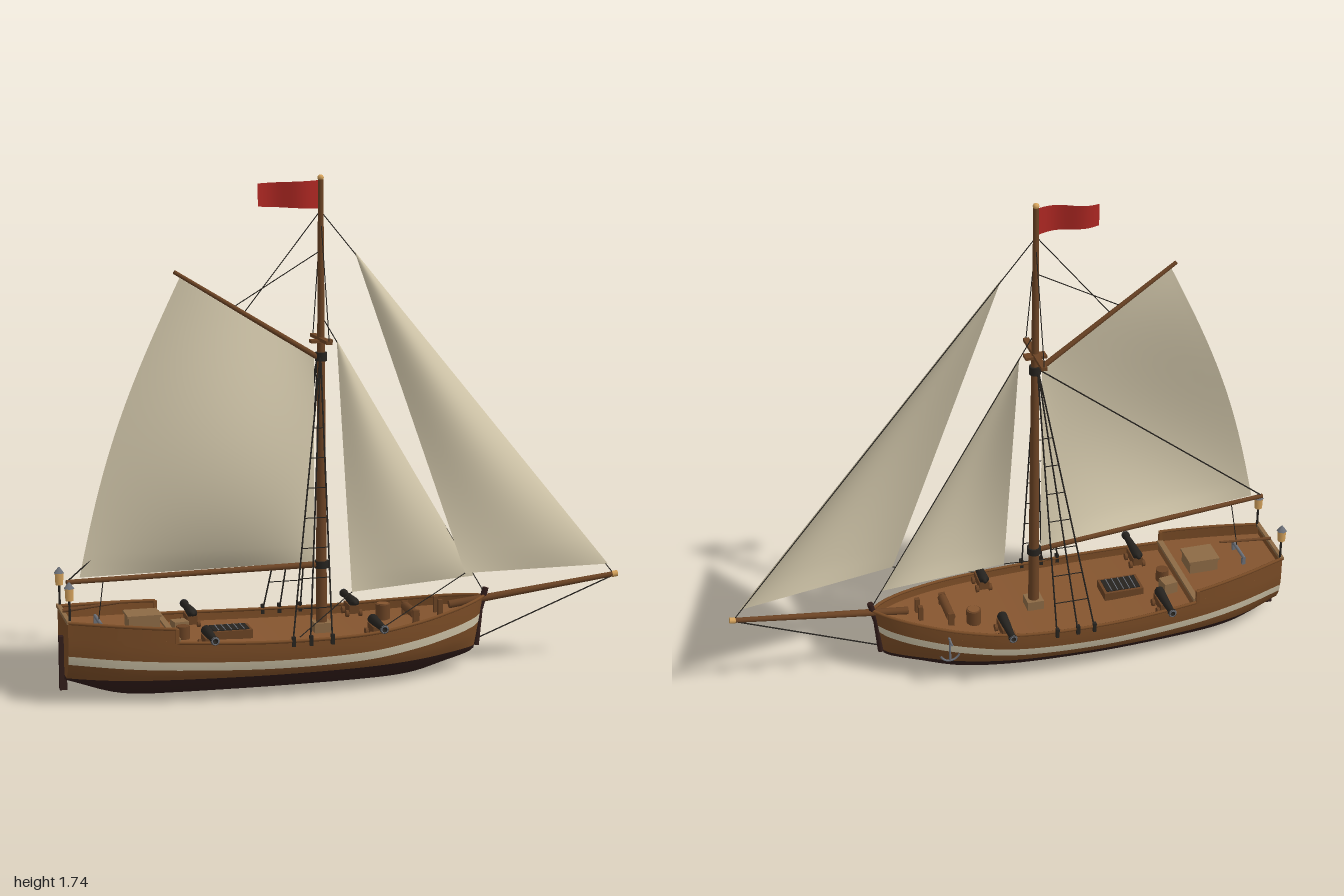
import * as THREE from 'three';

const V = (x, y, z) => new THREE.Vector3(x, y, z);
const mat = (name, color, double) => {
  const m = new THREE.MeshStandardMaterial({ color });
  m.name = name;
  if (double) m.side = THREE.DoubleSide;
  return m;
};

export function createModel() {
  const M = {
    hull: mat('hullWood', 0x7a4c26, true), bottom: mat('darkBottom', 0x321d1a, true),
    cream: mat('creamCanvas', 0xcfc4a8, true), deck: mat('deckWood', 0x85552f, true),
    spar: mat('sparWood', 0x6b4324), black: mat('blackIron', 0x26231f),
    steel: mat('greyIron', 0x6c7078), lamp: mat('lampGlow', 0xd6a35c),
    crate: mat('paleWood', 0x8c6a45), red: mat('redFlag', 0xad2722, true),
  };
  const root = new THREE.Group();
  root.name = 'sailingBoat';

  const add = (name, geo, m, x = 0, y = 0, z = 0, parent = root) => {
    const mesh = new THREE.Mesh(geo, m);
    mesh.name = name;
    mesh.position.set(x, y, z);
    parent.add(mesh);
    return mesh;
  };
  const box = (name, w, h, d, m, x, y, z, parent) =>
    add(name, new THREE.BoxGeometry(w, h, d), m, x, y, z, parent);
  const drum = (name, r1, r2, h, m, x, y, z, n = 14, parent = root) =>
    add(name, new THREE.CylinderGeometry(r1, r2, h, n), m, x, y, z, parent);
  // Round bar between two points
  const rod = (name, a, b, r, m, r2 = r, n = 10) => {
    const d = b.clone().sub(a);
    const mesh = drum(name, r2, r, d.length(), m, 0, 0, 0, n);
    mesh.position.copy(a).addScaledVector(d, 0.5);
    mesh.quaternion.setFromUnitVectors(V(0, 1, 0), d.normalize());
    return mesh;
  };
  const rope = (name, a, b, r = 0.0018) => rod(name, a, b, r, M.black, r, 5);
  // Grid surface from a function of u and v
  const surface = (name, fn, nu, nv, m) => {
    const pos = [], idx = [];
    for (let j = 0; j <= nv; j++) for (let i = 0; i <= nu; i++) pos.push(...fn(i / nu, j / nv).toArray());
    for (let j = 0; j < nv; j++) for (let i = 0; i < nu; i++) {
      const a = j * (nu + 1) + i, b = a + nu + 1;
      idx.push(a, a + 1, b + 1, a, b + 1, b);
    }
    const g = new THREE.BufferGeometry();
    g.setAttribute('position', new THREE.Float32BufferAttribute(pos, 3));
    g.setIndex(idx);
    g.computeVertexNormals();
    return add(name, g, m);
  };

  // Hull stations: x, half width, sheer height, keel height, stripe height
  const stations = [
    [-0.985, 0.12, 0.24, 0.065, 0.156], [-0.8, 0.172, 0.225, 0.008, 0.142],
    [-0.6, 0.208, 0.214, 0, 0.132], [-0.3, 0.228, 0.202, 0, 0.122],
    [0, 0.215, 0.202, 0, 0.125], [0.2, 0.172, 0.218, 0.005, 0.142],
    [0.35, 0.11, 0.237, 0.035, 0.16], [0.44, 0.052, 0.25, 0.055, 0.173], [0.48, 0.003, 0.256, 0.07, 0.18],
  ];
  const curve = (i, j) => new THREE.CatmullRomCurve3(
    stations.map((s) => V(s[0], s[i], s[j])), false, 'catmullrom', 0.5);
  const upper = curve(1, 2), lower = curve(3, 4);
  const at = (u) => {
    const a = upper.getPoint(u), b = lower.getPoint(u);
    return { x: a.x, hw: Math.max(a.y, 0.002), sheer: a.z, keel: Math.max(b.y, 0), stripe: b.z };
  };
  const uAt = (x) => {
    let lo = 0, hi = 1;
    for (let i = 0; i < 30; i++) { const m = (lo + hi) / 2; if (at(m).x < x) lo = m; else hi = m; }
    return lo;
  };
  const halfAt = (s, y) => {
    const t = Math.min(1, Math.max(0, (y - s.keel) / (s.sheer - s.keel)));
    return s.hw * Math.sqrt(1 - (1 - t) ** 3);
  };
  const hullPoint = (u, y, side) => {
    const s = at(u);
    return V(s.x + 0.02 * u ** 8 * ((y - 0.16) / 0.1), y, side * halfAt(s, y));
  };
  const uBreak = uAt(-0.635);
  const water = () => 0.082;
  const keel = (s) => s.keel, sheer = (s) => s.sheer;
  const low = (s) => s.stripe - 0.015, high = (s) => s.stripe + 0.015;
  const raised = (s) => 0.262 + 0.024 * (-0.635 - s.x) / 0.35;

  // Hull planking in bands, mirrored
  const bands = [
    ['hullBottom', keel, water, 8, M.bottom], ['lowerPlanking', water, low, 3, M.hull],
    ['hullStripe', low, high, 2, M.cream], ['upperPlanking', high, sheer, 4, M.hull],
  ];
  for (const side of [1, -1]) {
    for (const [name, a, b, n, m] of bands)
      surface(name, (u, v) => {
        const s = at(u);
        return hullPoint(u, THREE.MathUtils.lerp(a(s), b(s), v * v * (name === 'hullBottom' ? 1 : 0) + (name === 'hullBottom' ? 0 : v)), side);
      }, 64, n, m);
    surface('sternBulwark', (u, v) => {
      const s = at(u * uBreak);
      return V(s.x, THREE.MathUtils.lerp(s.sheer, raised(s), v), side * s.hw);
    }, 16, 1, M.hull);
    // Cap rails
    const railPts = [], sternPts = [];
    for (let i = 0; i <= 30; i++) {
      const u = uBreak + (1 - uBreak) * i / 30, w = uBreak * i / 30;
      railPts.push(hullPoint(u, at(u).sheer, side));
      sternPts.push(V(at(w).x, raised(at(w)), side * at(w).hw));
    }
    for (const [name, pts] of [['capRail', railPts], ['sternRail', sternPts]])
      add(name, new THREE.TubeGeometry(new THREE.CatmullRomCurve3(pts), 50, 0.006, 6), M.hull);
    const b = at(uBreak);
    box('bulwarkEnd', 0.012, 0.05, 0.014, M.hull, b.x, b.sheer + 0.022, side * b.hw);
  }

  // Transom
  const s0 = at(0);
  const transom = (name, y0, y1, m) => surface(name, (u, v) => {
    const y = THREE.MathUtils.lerp(y0, y1, v);
    return V(s0.x, y, (u * 2 - 1) * halfAt(s0, y));
  }, 2, 8, m);
  transom('transomBottom', s0.keel, 0.082, M.bottom);
  transom('transom', 0.082, 0.286, M.hull);
  box('transomRail', 0.014, 0.012, 0.25, M.crate, -0.982, 0.287, 0);

  // Decks and the break between them
  const deck = (name, u0, u1, rise) => surface(name, (u, v) => {
    const s = at(u0 + (u1 - u0) * u), y = s.sheer + rise;
    return V(s.x, y, (v * 2 - 1) * halfAt(s, y));
  }, 40, 4, M.deck);
  deck('mainDeck', uBreak, 1, -0.032);
  deck('quarterDeck', 0, uBreak, 0.004);
  box('deckBreak', 0.012, 0.045, 0.4, M.deck, -0.632, 0.198, 0);
  box('deckBreakBeam', 0.02, 0.012, 0.4, M.crate, -0.632, 0.222, 0);

  // Stem, rudder, tiller
  rod('stemPost', V(0.472, 0.08, 0), V(0.487, 0.23, 0), 0.01, M.bottom);
  rod('stemHead', V(0.485, 0.21, 0), V(0.505, 0.285, 0), 0.011, M.bottom);
  box('rudder', 0.024, 0.185, 0.024, M.bottom, -0.988, 0.12, 0);
  rod('tiller', V(-0.985, 0.298, 0), V(-0.79, 0.315, 0), 0.006, M.spar, 0.004);

  // Spars
  rod('mast', V(-0.09, 0.16, 0), V(-0.09, 1.725, 0), 0.02, M.spar, 0.009, 18);
  add('mastTruck', new THREE.SphereGeometry(0.011, 12, 8), M.lamp, -0.09, 1.728, 0);
  box('mastStep', 0.06, 0.035, 0.06, M.crate, -0.09, 0.185, 0);
  box('crosstree', 0.02, 0.012, 0.225, M.spar, -0.09, 1.185, 0);
  box('trestle', 0.075, 0.01, 0.035, M.spar, -0.09, 1.178, 0);
  drum('gaffCollar', 0.02, 0.02, 0.03, M.black, -0.09, 1.125, 0);
  drum('boomCollar', 0.025, 0.025, 0.025, M.black, -0.09, 0.405, 0);
  const boomEnd = V(-0.985, 0.42, 0.1);
  rod('gaff', V(-0.1, 1.122, 0), V(-0.603, 1.432, 0.06), 0.01, M.spar, 0.007);
  rod('boom', V(-0.1, 0.405, 0), boomEnd, 0.011, M.spar, 0.008);
  rod('bowsprit', V(0.37, 0.232, 0), V(0.985, 0.304, 0), 0.014, M.spar, 0.009);
  rod('bowspritCap', V(0.978, 0.303, 0), V(0.998, 0.3055, 0), 0.011, M.lamp);

  // Sails: tack, clew, head at leech, head at luff, belly and leech roach
  const sail = (name, tack, clew, peak, throat, belly, roach) => surface(name, (u, v) => {
    const p = tack.clone().lerp(clew, u).lerp(throat.clone().lerp(peak, u), v);
    p.z += belly * Math.sin(Math.PI * u ** 0.85) * Math.sin(Math.PI * v ** 0.8);
    p.x -= roach * u * Math.sin(Math.PI * v);
    return p;
  }, 24, 24, M.cream);
  sail('mainsail', V(-0.115, 0.415, 0), V(-0.94, 0.432, 0.095), V(-0.585, 1.412, 0.058), V(-0.115, 1.12, 0.002), 0.085, 0.042);
  const stayHead = V(-0.035, 1.18, 0), jibHead = V(0.027, 1.48, 0);
  sail('staysail', V(0.465, 0.33, 0), V(0, 0.317, 0.07), stayHead, stayHead, 0.05, 0);
  sail('jib', V(0.962, 0.342, 0), V(0.4, 0.363, 0.09), jibHead, jibHead, 0.06, 0);

  // Flag with a gentle wave
  surface('flag', (u, v) => V(-0.1 - 0.205 * u,
    THREE.MathUtils.lerp(1.625 + 0.01 * u, 1.72 - 0.008 * u, v), 0.014 * Math.sin(u * 6)), 20, 3, M.red);

  // Stays, halyards and sheets
  rope('forestay', V(-0.08, 1.25, 0), V(0.495, 0.275, 0));
  rope('jibStay', V(-0.085, 1.61, 0), V(0.98, 0.31, 0));
  rope('bobstay', V(0.985, 0.3, 0), V(0.478, 0.105, 0), 0.0025);
  rope('toppingLift', V(-0.1, 1.13, -0.01), boomEnd, 0.0025);
  rope('peakHalyard', V(-0.09, 1.62, 0), V(-0.365, 1.284, 0.032));
  rope('innerHalyard', V(-0.09, 1.485, 0), V(-0.4, 1.307, 0.036));
  rope('mainSheet', V(-0.86, 0.415, 0.085), V(-0.868, 0.27, 0.03));
  rope('jibSheet', V(0.4, 0.363, 0.09), V(0.07, 0.215, 0.195));
  rope('staysailSheet', V(0, 0.317, 0.07), V(-0.22, 0.21, 0.215));

  // Shrouds with ratlines, deadeyes and topmast shrouds
  for (const side of [1, -1]) {
    const feet = [-0.245, -0.185, -0.11].map((x) => V(x, 0.205, side * 0.222));
    const top = V(-0.095, 1.14, side * 0.012);
    for (const f of feet) {
      rope('shroud', f, top, 0.003);
      box('deadeye', 0.012, 0.034, 0.014, M.black, f.x, 0.2, side * 0.23);
    }
    for (let i = 1; i <= 7; i++)
      rope('ratline', feet[0].clone().lerp(top, i * 0.105), feet[2].clone().lerp(top, i * 0.105));
    rope('topmastShroud', V(-0.09, 1.188, side * 0.11), V(-0.09, 1.6, 0));

    // Stern lanterns
    rod('lanternPost', V(-0.978, 0.28, side * 0.115), V(-0.978, 0.365, side * 0.115), 0.004, M.black);
    drum('lantern', 0.016, 0.014, 0.042, M.lamp, -0.978, 0.382, side * 0.115, 6);
    drum('lanternCap', 0.003, 0.019, 0.02, M.steel, -0.978, 0.412, side * 0.115, 6);

    // Cannons on carriages
    for (const x of [-0.52, 0.06]) {
      const gun = new THREE.Group();
      gun.name = 'cannon';
      gun.position.set(x, 0.23, side * 0.115);
      if (side < 0) gun.rotation.y = Math.PI;
      root.add(gun);
      const barrel = [[0, -0.012], [0.008, -0.01], [0.006, 0], [0.018, 0.004], [0.016, 0.05], [0.011, 0.135], [0.015, 0.142], [0.014, 0.155], [0.007, 0.155], [0.006, 0.13], [0, 0.13]];
      add('barrel', new THREE.LatheGeometry(barrel.map((p) => new THREE.Vector2(...p)), 14), M.black, 0, 0, 0, gun).rotation.x = Math.PI / 2;
      add('muzzleRing', new THREE.TorusGeometry(0.011, 0.004, 6, 14), M.steel, 0, 0, 0.152, gun);
      box('carriage', 0.036, 0.03, 0.08, M.spar, 0, -0.025, 0.04, gun);
      for (const wx of [-0.024, 0.024]) for (const wz of [0.012, 0.068])
        drum('wheel', 0.013, 0.013, 0.01, M.spar, wx, -0.04, wz, 12, gun).rotation.z = Math.PI / 2;
    }
    box('bowBitt', 0.016, 0.06, 0.016, M.spar, 0.33, 0.228, side * 0.025);
    box('windlassPost', 0.022, 0.05, 0.012, M.spar, 0.23, 0.212, side * 0.066);
  }

  // Deck furniture
  drum('windlass', 0.016, 0.016, 0.13, M.spar, 0.23, 0.22, 0).rotation.x = Math.PI / 2;
  box('skylight', 0.105, 0.045, 0.09, M.crate, -0.717, 0.248, 0.005);
  box('skylightLid', 0.115, 0.008, 0.1, M.crate, -0.717, 0.273, 0.005);
  box('smallCrate', 0.05, 0.045, 0.05, M.crate, -0.577, 0.202, -0.055).rotation.y = 0.15;
  drum('barrel', 0.023, 0.023, 0.045, M.spar, -0.58, 0.202, 0.02);
  drum('bowBarrel', 0.026, 0.026, 0.055, M.spar, 0.147, 0.207, -0.06);
  drum('bowBarrelLid', 0.021, 0.021, 0.004, M.deck, 0.147, 0.2355, -0.06);
  box('hatchFrame', 0.145, 0.03, 0.095, M.spar, -0.415, 0.187, 0);
  box('hatchOpening', 0.125, 0.004, 0.075, M.black, -0.415, 0.203, 0);
  for (let i = -2; i <= 2; i++) box('hatchBar', 0.003, 0.003, 0.075, M.steel, -0.415 + i * 0.022, 0.2045, 0);
  rod('sheetHorse', V(-0.868, 0.262, -0.05), V(-0.868, 0.262, 0.07), 0.006, M.steel);
  for (const z of [-0.04, 0.06]) box('horseFoot', 0.012, 0.03, 0.012, M.steel, -0.868, 0.246, z);

  // Anchor hung on the right side
  const ax = 0.26, az = -0.163;
  rod('anchorShank', V(ax, 0.108, az), V(ax, 0.2, az), 0.004, M.steel);
  rod('anchorStock', V(ax, 0.193, az - 0.032), V(ax, 0.193, az + 0.032), 0.004, M.steel);
  add('anchorArms', new THREE.TorusGeometry(0.036, 0.004, 6, 16, Math.PI * 0.8), M.steel, ax, 0.144, az).rotation.z = Math.PI * 1.1;
  return root;
}
